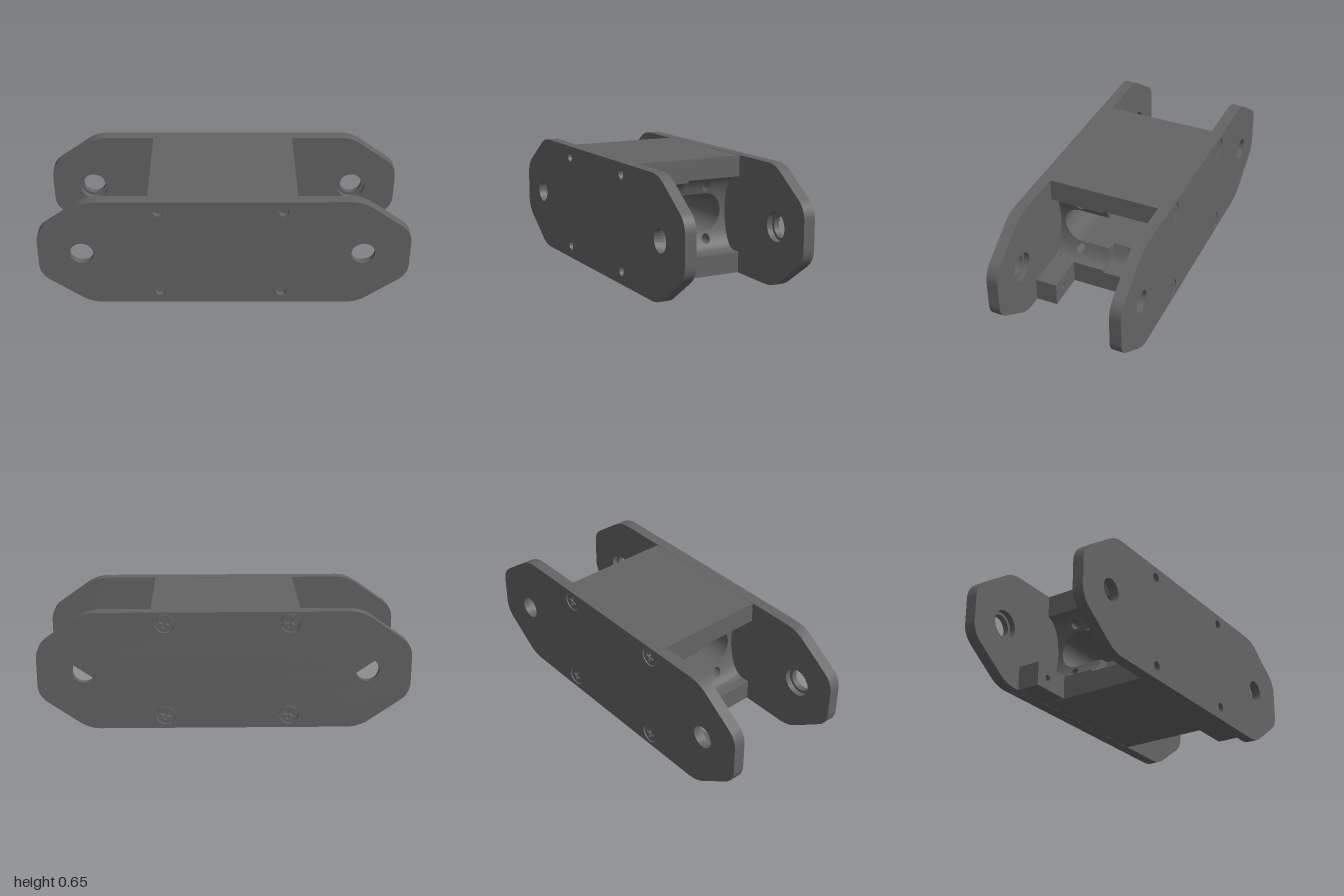
import * as THREE from 'three';
import { ParametricGeometry } from 'three/addons/geometries/ParametricGeometry.js';

const grey = new THREE.MeshStandardMaterial({ color: 0x646464, side: THREE.DoubleSide, flatShading: true });
grey.name = 'dark grey';

const MID = 0.327;            // height of the pivot axis
const HALF = 0.395;           // half length of the centre block
const SLOT_R = 0.105, SLOT_Z = 0.173;
const POCKET = 0.21;          // half height of the end pockets
const HOLE_A = 0.146, HOLE_R = 0.026;
const Z0 = -0.31, Z1 = 0.305; // inner faces of the side plates

export function createModel() {
  const group = new THREE.Group();
  const body = new THREE.Group();
  body.name = 'link';
  body.rotation.y = -0.016;
  group.add(body);

  const add = (name, geometry, x = 0, y = 0, z = 0) => {
    const mesh = new THREE.Mesh(geometry, grey);
    mesh.name = name;
    mesh.position.set(x, y, z);
    body.add(mesh);
    return mesh;
  };
  const box = (name, x0, x1, y0, y1, z0, z1) =>
    add(name, new THREE.BoxGeometry(x1 - x0, y1 - y0, z1 - z0), (x0 + x1) / 2, (y0 + y1) / 2, (z0 + z1) / 2);
  const circle = (x, y, r) => new THREE.Path().absarc(x, y, r, 0, Math.PI * 2, true);
  const extrude = (shape, depth) =>
    new THREE.ExtrudeGeometry(shape, { depth, bevelEnabled: false, curveSegments: 16 });

  // Side plates: octagon with softened corners, counterbored pivot holes on the inside
  const corners = [[-0.727, 0], [0.723, 0], [0.991, 0.19], [0.991, 0.462],
    [0.723, 0.652], [-0.727, 0.652], [-0.997, 0.462], [-0.997, 0.19]].map(p => new THREE.Vector2(...p));
  const plateShape = (pivotR, screwR) => {
    const shape = new THREE.Shape();
    corners.forEach((c, i) => {
      const toward = q => q.clone().sub(c).setLength(0.065).add(c);
      const a = toward(corners[(i + 7) % 8]), b = toward(corners[(i + 1) % 8]);
      if (i) shape.lineTo(a.x, a.y); else shape.moveTo(a.x, a.y);
      shape.quadraticCurveTo(c.x, c.y, b.x, b.y);
    });
    shape.closePath();
    for (const x of [-0.764, 0.741]) shape.holes.push(circle(x, MID, pivotR));
    if (screwR) for (const [x, y] of screws) shape.holes.push(circle(x, y, screwR));
    return shape;
  };
  const screws = [[-0.349, 0.59], [0.311, 0.59], [-0.349, 0.073], [0.311, 0.073]];
  add('frontPlateInner', extrude(plateShape(0.08, 0), 0.031), 0, 0, Z1);
  add('frontPlateOuter', extrude(plateShape(0.063, 0.027), 0.031), 0, 0, Z1 + 0.031);
  add('backPlateInner', extrude(plateShape(0.08, 0), 0.032), 0, 0, Z0 - 0.032);
  add('backPlateOuter', extrude(plateShape(0.063, 0.052), 0.032), 0, 0, Z0 - 0.064);

  // Cross-head screws set into the back plate
  const head = new THREE.Shape().absarc(0, 0, 0.047, 0, Math.PI * 2, false);
  const w = 0.006, l = 0.028;
  head.holes.push(new THREE.Path([[w, w], [w, l], [-w, l], [-w, w], [-l, w], [-l, -w],
    [-w, -w], [-w, -l], [w, -l], [w, -w], [l, -w], [l, w]].map(p => new THREE.Vector2(...p))));
  for (const [x, y] of screws) {
    const screw = add('screwHead', extrude(head, 0.026), x, y, Z0 - 0.06);
    screw.rotation.z = 0.2;
  }

  // Centre block: solid bars above and below the pockets
  const cx = -0.01;
  box('blockTop', cx - HALF, cx + HALF, MID + POCKET, 0.651, Z0, Z1);
  box('blockBottom', cx - HALF, cx + HALF, 0.001, MID - POCKET, Z0, Z1);

  // Concave pocket floor: one half deep, the other half shallow, swapped at the far end
  const floorX = (side, a, z) => {
    const deep = side * z < 0.005;
    const reach = deep ? POCKET : 0.195;
    if (!deep && a > reach) return side * HALF;
    const arc = Math.sqrt(Math.max(0, 1 - (a / reach) ** 2));
    return side * (HALF - (deep ? 0.05 + 0.1 * arc : 0.01 + 0.09 * arc));
  };
  const slotEdge = z => {
    const d = Math.max(0, Math.abs(z) - SLOT_Z);
    return d < SLOT_R ? Math.sqrt(SLOT_R ** 2 - d * d) : 0;
  };
  const pocketFloor = (side, up) => {
    const g = new ParametricGeometry((u, v, t) => {
      let z = THREE.MathUtils.lerp(Z0, Z1, u);
      let a = THREE.MathUtils.lerp(slotEdge(z), POCKET, v);
      // pull nearby points onto the rim of the small through hole
      const hz = Math.sign(z) * SLOT_Z, d = Math.hypot(z - hz, a - HOLE_A);
      if (Math.abs(d - HOLE_R) < 0.0028) {
        z = hz + (z - hz) * HOLE_R / d;
        a = HOLE_A + (a - HOLE_A) * HOLE_R / d;
      }
      t.set(floorX(side, a, z), MID + up * a, z);
    }, 120, 24);
    // leave the through holes open
    const p = g.attributes.position, keep = [], idx = g.index.array;
    for (let i = 0; i < idx.length; i += 3) {
      const tri = [idx[i], idx[i + 1], idx[i + 2]];
      const z = tri.reduce((s, k) => s + p.getZ(k), 0) / 3;
      const a = Math.abs(tri.reduce((s, k) => s + p.getY(k), 0) / 3 - MID);
      if (Math.hypot(Math.abs(z) - SLOT_Z, a - HOLE_A) > HOLE_R - 0.0006) keep.push(...tri);
    }
    g.setIndex(keep);
    return g;
  };
  for (const side of [1, -1]) for (const up of [1, -1]) add('pocketFloor', pocketFloor(side, up), cx);

  // Walls of the long slot and the small holes, running from floor to floor
  const tunnel = (name, outline, segments) => add(name, new ParametricGeometry((u, v, t) => {
    const [z, y] = outline(u * Math.PI * 2);
    const a = Math.abs(y);
    t.set(THREE.MathUtils.lerp(floorX(-1, a, z), floorX(1, a, z), v), MID + y, z);
  }, segments, 1), cx);
  tunnel('slotWall', q => {
    const c = Math.cos(q);
    return [SLOT_R * c + SLOT_Z * THREE.MathUtils.clamp(c * 40, -1, 1), SLOT_R * Math.sin(q)];
  }, 160);
  for (const sz of [1, -1]) for (const sy of [1, -1])
    tunnel('throughHole', q => [sz * SLOT_Z + HOLE_R * Math.cos(q), sy * HOLE_A + HOLE_R * Math.sin(q)], 24);

  // Stop lugs at opposite corners, each with a small cross hole
  const lug = new THREE.Shape([[0, 0.001], [0.222, 0.001], [0.222, 0.133], [0, 0.133]].map(p => new THREE.Vector2(...p)));
  lug.holes.push(circle(0.14, 0.067, 0.018));
  add('frontLug', extrude(lug, 0.12), 0.383, 0, Z1 - 0.12);
  const backLug = add('backLug', extrude(lug, 0.128), -0.41, 0, Z0 + 0.128);
  backLug.rotation.y = Math.PI;

  return group;
}
